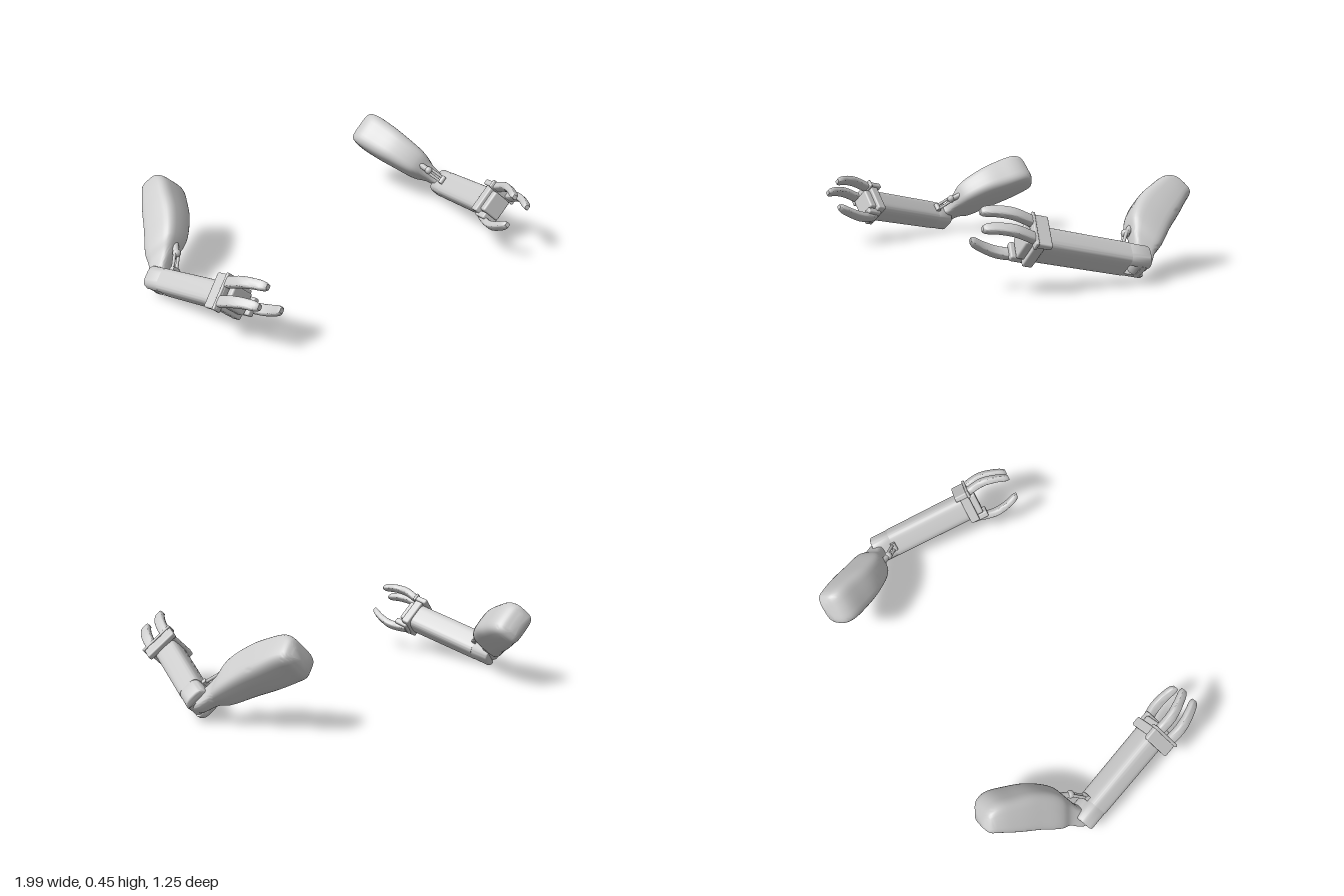
import * as THREE from 'three';
import { toCreasedNormals } from 'three/addons/utils/BufferGeometryUtils.js';
import { RoundedBoxGeometry } from 'three/addons/geometries/RoundedBoxGeometry.js';

const material = new THREE.MeshStandardMaterial({ color: 0xcccccc });

function add(parent, name, geometry, x = 0, y = 0, z = 0) {
  const mesh = new THREE.Mesh(geometry, material);
  mesh.name = name;
  mesh.position.set(x, y, z);
  parent.add(mesh);
  return mesh;
}

const power = (v, e) => Math.sign(v) * Math.abs(v) ** (2 / e);

// Rounded-box skin through stations [z, y of inner edge, z, y of outer edge, half thickness, x offset].
// Stations run towards -z.
function loft(stations, e = 4, rings = 24, sides = 32) {
  const inner = new THREE.CatmullRomCurve3(stations.map(s => new THREE.Vector3(s[5] || 0, s[1], s[0])));
  const outer = new THREE.CatmullRomCurve3(stations.map(s => new THREE.Vector3(s[4], s[3], s[2])));
  const pos = [], index = [];
  for (let j = 0; j <= rings; j++) {
    const a = inner.getPoint(j / rings), b = outer.getPoint(j / rings);
    for (let i = 0; i < sides; i++) {
      const t = (i / sides) * Math.PI * 2;
      const k = 0.5 + power(Math.cos(t), e) / 2;
      pos.push(a.x + b.x * power(Math.sin(t), e), b.y + (a.y - b.y) * k, b.z + (a.z - b.z) * k);
    }
  }
  // End cap centres
  for (const j of [0, rings]) {
    const a = inner.getPoint(j / rings), b = outer.getPoint(j / rings);
    pos.push(a.x, (a.y + b.y) / 2, (a.z + b.z) / 2);
  }
  const first = (rings + 1) * sides;
  for (let i = 0; i < sides; i++) {
    const n = (i + 1) % sides;
    for (let j = 0; j < rings; j++) {
      const r = j * sides, q = r + sides;
      index.push(r + i, r + n, q + n, r + i, q + n, q + i);
    }
    index.push(first, n, i, first + 1, rings * sides + i, rings * sides + n);
  }
  const geometry = new THREE.BufferGeometry();
  geometry.setAttribute('position', new THREE.Float32BufferAttribute(pos, 3));
  geometry.setIndex(index);
  return toCreasedNormals(geometry, 0.75);
}

// Rod between two points
function rod(parent, name, from, to, radius) {
  const a = new THREE.Vector3(...from), b = new THREE.Vector3(...to);
  const dir = b.clone().sub(a);
  const mesh = add(parent, name, new THREE.CylinderGeometry(radius, radius, dir.length(), 14));
  mesh.position.copy(a).add(b).multiplyScalar(0.5);
  mesh.quaternion.setFromUnitVectors(new THREE.Vector3(0, 1, 0), dir.normalize());
}

// Forearm section with a slot on its outer side
function yokeGeometry(w, h, slot, length) {
  const shape = new THREE.Shape(), bevel = 0.012;
  const W = w - bevel, H = h - bevel;
  const edge = -H * (1 - (slot / W) ** 4) ** 0.25;
  const start = Math.atan2(power(edge / H, 1), power(slot / W, 1));
  const t0 = Math.atan2(Math.abs(edge / H) ** 2 * Math.sign(start), (slot / W) ** 2);
  for (let i = 0; i <= 32; i++) {
    const t = t0 + ((Math.PI - 2 * t0) * i) / 32;
    const x = W * power(Math.cos(t), 4), y = H * power(Math.sin(t), 4);
    i ? shape.lineTo(x, y) : shape.moveTo(x, y);
  }
  shape.lineTo(-slot, 0.005);
  shape.quadraticCurveTo(-slot, 0.02, 0, 0.02);
  shape.quadraticCurveTo(slot, 0.02, slot, 0.005);
  shape.closePath();
  const geometry = new THREE.ExtrudeGeometry(shape, {
    depth: length - bevel, bevelSize: bevel, bevelThickness: bevel, bevelSegments: 4, curveSegments: 6,
  });
  return toCreasedNormals(geometry, 0.7);
}

// Curved finger from tip back to base
function finger(parent, name, side, baseY, tipY, x) {
  const at = (s, t, half, thick, off) => {
    const y = baseY + (tipY - baseY) * t;
    return [s, y + half, s, y - half, thick, side * (x + Math.sign(x) * off)];
  };
  add(parent, name, loft([
    at(0.79, 1, 0.012, 0.011, -0.022),
    at(0.775, 0.98, 0.02, 0.017, -0.016),
    at(0.72, 0.8, 0.024, 0.018, 0.004),
    at(0.65, 0.45, 0.026, 0.019, 0.016),
    at(0.58, 0.1, 0.026, 0.019, 0.006),
    at(0.53, 0, 0.024, 0.019, -0.008),
  ], 5, 16, 24));
}

// Arm laid out in its own bending plane: y points inward and up, z forward
function arm(side) {
  const group = new THREE.Group();
  group.name = side > 0 ? 'leftArm' : 'rightArm';

  // Upper arm, tapering from the shoulder into the elbow neck
  add(group, 'upperArm', loft([
    [-0.10, -0.17, -0.12, -0.25, 0.028],
    [-0.155, -0.13, -0.19, -0.235, 0.035],
    [-0.19, -0.045, -0.25, -0.175, 0.046],
    [-0.22, 0.04, -0.30, -0.145, 0.072],
    [-0.32, 0.14, -0.40, -0.06, 0.09],
    [-0.42, 0.195, -0.50, 0.015, 0.10],
    [-0.52, 0.235, -0.58, 0.08, 0.10],
    [-0.575, 0.225, -0.62, 0.11, 0.088],
    [-0.61, 0.19, -0.632, 0.14, 0.055],
  ], 4, 40));

  // Elbow hub and pin, crossing the bending plane
  add(group, 'elbowHub', new THREE.CylinderGeometry(0.046, 0.046, 0.066, 28), 0, -0.205, -0.14).rotation.z = Math.PI / 2;
  add(group, 'elbowPin', new THREE.CylinderGeometry(0.02, 0.02, 0.13, 20), 0, -0.205, -0.14).rotation.z = Math.PI / 2;

  // Small actuator on the inside of the elbow
  rod(group, 'actuatorBody', [0, -0.005, -0.215], [0, -0.045, -0.155], 0.016);
  for (const x of [-0.013, 0.013]) rod(group, 'actuatorRod', [x, -0.035, -0.165], [x, -0.125, -0.085], 0.008);
  add(group, 'actuatorJoint', new THREE.SphereGeometry(0.021, 18, 12), 0, -0.035, -0.165);
  add(group, 'actuatorEye', new THREE.CylinderGeometry(0.014, 0.014, 0.045, 16), 0, -0.105, -0.1).rotation.z = Math.PI / 2;

  // Forearm: solid shaft with a slotted elbow yoke
  const forearm = new THREE.Group();
  forearm.name = 'forearm';
  forearm.position.set(0, -0.19, -0.14);
  forearm.rotation.x = -0.309;
  group.add(forearm);
  add(forearm, 'forearmShaft', loft([
    [0.51, 0.062, 0.51, -0.064, 0.074],
    [0.28, 0.061, 0.28, -0.062, 0.073],
    [0.06, 0.06, 0.06, -0.06, 0.072],
  ], 4, 4, 48));
  add(forearm, 'elbowYoke', yokeGeometry(0.072, 0.06, 0.04, 0.105), 0, 0, -0.034);

  // Wrist cuff, palm and finger mounts
  add(forearm, 'wristCuff', new RoundedBoxGeometry(0.165, 0.15, 0.05, 2, 0.008), 0, 0, 0.525);
  add(forearm, 'palm', new RoundedBoxGeometry(0.12, 0.11, 0.06, 2, 0.01), 0, 0, 0.555);
  add(forearm, 'fingerMount', new RoundedBoxGeometry(0.03, 0.172, 0.085, 2, 0.008), side * 0.083, 0, 0.52);
  add(forearm, 'fingerMountLip', new RoundedBoxGeometry(0.045, 0.182, 0.016, 2, 0.005), side * 0.084, 0, 0.553);
  add(forearm, 'thumbMount', new RoundedBoxGeometry(0.034, 0.09, 0.085, 2, 0.008), side * -0.08, 0, 0.56);

  // Two fingers facing one thumb
  finger(forearm, 'upperFinger', side, 0.05, 0.075, 0.085);
  finger(forearm, 'lowerFinger', side, -0.045, -0.022, 0.085);
  finger(forearm, 'thumb', side, 0, 0.015, -0.092);
  return group;
}

export function createModel() {
  const model = new THREE.Group();
  model.name = 'armPair';
  const left = arm(1), right = arm(-1);
  left.position.set(0.78, 0.24, 0);
  left.rotation.z = Math.PI / 4;
  right.position.set(-0.785, 0.225, 0);
  right.rotation.z = -Math.PI / 4 + 0.025;
  model.add(left, right);
  return model;
}
